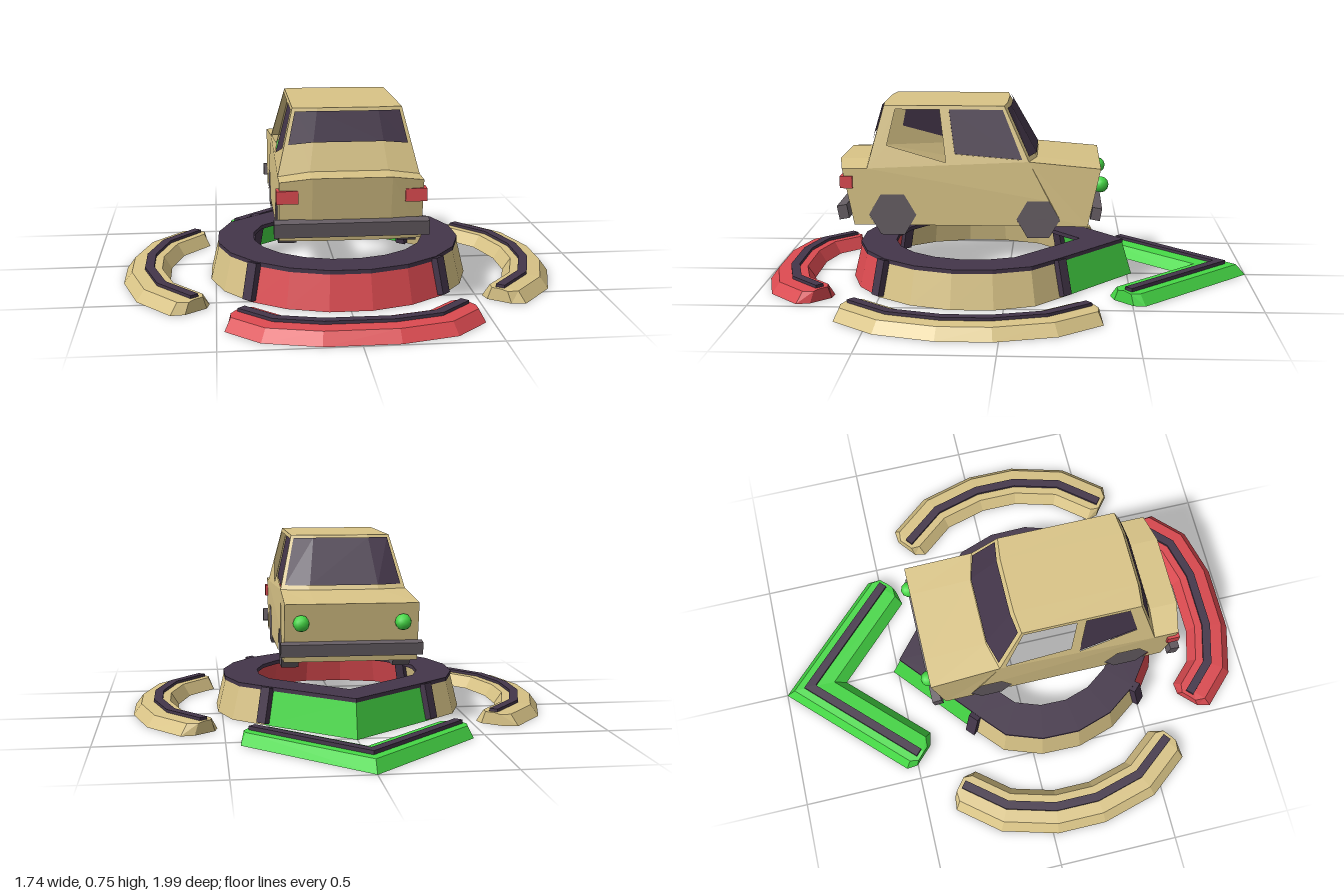
import * as THREE from 'three';

const mat = (name, color) => new THREE.MeshStandardMaterial({ name, color, side: THREE.DoubleSide });

// Faceted surface from rows of [x, y, z] points
function loft(rows) {
  const pos = [];
  for (let i = 0; i < rows.length - 1; i++) {
    for (let j = 0; j < rows[i].length - 1; j++) {
      const a = rows[i][j], b = rows[i][j + 1], c = rows[i + 1][j + 1], d = rows[i + 1][j];
      pos.push(...a, ...b, ...c, ...a, ...c, ...d);
    }
  }
  const g = new THREE.BufferGeometry();
  g.setAttribute('position', new THREE.Float32BufferAttribute(pos, 3));
  g.computeVertexNormals();
  return g;
}

// Sweep a section of [offset, y] along a ground path of [x, z], with mitred corners
function sweep(path, section, endLength, endScale) {
  const dir = (a, b) => new THREE.Vector2(b[0] - a[0], b[1] - a[1]).normalize();
  const last = path.length - 1;
  const rows = path.map((p, i) => {
    const d0 = dir(path[Math.max(i - 1, 0)], path[Math.max(i, 1)]);
    const d1 = dir(path[Math.min(i, last - 1)], path[Math.min(i + 1, last)]);
    const n0 = new THREE.Vector2(d0.y, -d0.x), n1 = new THREE.Vector2(d1.y, -d1.x);
    const n = n0.clone().add(n1).normalize();
    n.divideScalar(n.dot(n1));
    return section.map(([o, y]) => [p[0] + n.x * o, y, p[1] + n.y * o]);
  });
  // chamfered end followed by a flat cap
  const end = (i, j) => {
    const d = dir(path[j], path[i]), row = rows[i];
    const mid = [0, 2].map(k => path[i][k / 2]);
    const tip = row.map(p => [
      mid[0] + (p[0] - mid[0]) * endScale + d.x * endLength, p[1],
      mid[1] + (p[2] - mid[1]) * endScale + d.y * endLength]);
    const foot = tip.map((p, k) => {
      const t = k / (tip.length - 1), a = tip[0], b = tip[tip.length - 1];
      return [a[0] + (b[0] - a[0]) * t, a[1], a[2] + (b[2] - a[2]) * t];
    });
    return [tip, foot];
  };
  const [t0, f0] = end(0, 1), [t1, f1] = end(last, last - 1);
  return loft([f0, t0, ...rows, t1, f1]);
}

export function createModel() {
  const tan = mat('tan', 0xd9c487), dark = mat('dark plum', 0x44364a), red = mat('red', 0xdb4a50);
  const green = mat('green', 0x45d845), grey = mat('grey', 0x655d63);
  const model = new THREE.Group();
  const add = (name, geo, material, parent = model) => {
    const m = new THREE.Mesh(geo, material);
    m.name = name;
    parent.add(m);
    return m;
  };
  const car = new THREE.Group();
  car.name = 'car';
  model.add(car);

  // Body skin across the car: each row is z, y, half width, bow in z, crown in y
  const row = (z, y, w, dz = 0, dy = 0) =>
    [[-w, y, z], [-w * 0.55, y + dy, z + dz], [w * 0.55, y + dy, z + dz], [w, y, z]];
  const noseBottom = row(-0.325, 0.27, 0.265), noseTop = row(-0.375, 0.505, 0.264);
  const cowl = row(-0.09, 0.53, 0.258, -0.03);
  const roofFront = row(0.01, 0.745, 0.205, -0.01), roofRear = row(0.49, 0.745, 0.205, 0.01);
  const deck = row(0.555, 0.5, 0.265, 0.01, 0.018);
  const tailTop = row(0.655, 0.5, 0.265, 0.025, 0.018), tailBottom = row(0.61, 0.27, 0.265, 0.015);
  add('bodySkin', loft([noseBottom, noseTop, cowl, roofFront, roofRear, deck, tailTop, tailBottom]), tan, car);

  // Thin front and rear glass laid over the skin
  const glass = (name, top, base, v0, v1, off) => {
    const rows = [v0, v1].map(v => top.map((p, j) => {
      const q = p.map((c, k) => c + (base[j][k] - c) * v);
      return [q[0] * (j % 3 ? 1 : 0.94), q[1] + 0.003, q[2] + off];
    }));
    add(name, loft(rows), dark, car);
  };
  glass('windshield', roofFront, cowl, 0.06, 0.93, -0.007);
  glass('rearWindow', roofRear, deck, 0.06, 0.55, 0.006);

  // Sides: shapes are drawn in (z, y); x leans inward above the belt
  const sideX = y => 0.265 - Math.max(0, y - 0.5) * 0.06 / 0.245;
  const shapeOf = pts => new THREE.Shape(pts.map(p => new THREE.Vector2(...p)));
  const sideGeo = (shape, s, off = 0) => {
    const g = new THREE.ShapeGeometry(shape).toNonIndexed();
    const p = g.attributes.position;
    for (let i = 0; i < p.count; i++) {
      const z = p.getX(i), y = p.getY(i);
      p.setXYZ(i, s * (sideX(y) + off), y, z);
    }
    g.computeVertexNormals();
    return g;
  };
  const wheels = [{ name: 'frontWheel', z: -0.128, y: 0.297, r: 0.087 }, { name: 'rearWheel', z: 0.455, y: 0.312, r: 0.095 }];
  const arch = ({ z, y, r }) => {
    const h = r * 0.866, foot = r - (y - 0.27) * 0.577;
    return [[z - foot, 0.27], [z - r, y], [z - r / 2, y + h], [z + r / 2, y + h], [z + r, y], [z + foot, 0.27]];
  };
  const lower = shapeOf([[-0.325, 0.27], ...wheels.flatMap(arch), [0.61, 0.27],
    [0.655, 0.5], [0.555, 0.5], [-0.09, 0.53], [-0.375, 0.505]]);
  const frontPane = [[0.016, 0.73], [0.23, 0.73], [0.205, 0.558], [-0.064, 0.537]];
  const rearPane = [[0.268, 0.73], [0.445, 0.73], [0.477, 0.59], [0.24, 0.525]];
  const cabin = shapeOf([[-0.09, 0.53], [0.555, 0.5], [0.49, 0.745], [0.01, 0.745]]);
  cabin.holes = [frontPane, rearPane].map(p => new THREE.Path(p.map(q => new THREE.Vector2(...q))));
  for (const s of [-1, 1]) {
    const side = s > 0 ? 'Left' : 'Right';
    add('lowerSide' + side, sideGeo(lower, s), tan, car);
    add('cabinSide' + side, sideGeo(cabin, s), tan, car);
    // one pane per side, the other opening is empty
    add('sideWindow' + side, sideGeo(shapeOf(s > 0 ? frontPane : rearPane), s, -0.003), dark, car);
    for (const w of wheels) {
      const g = new THREE.CylinderGeometry(w.r, w.r, 0.07, 6).toNonIndexed();
      g.rotateZ(Math.PI / 2);
      g.computeVertexNormals();
      add(w.name + side, g, grey, car).position.set(s * 0.228, w.y, w.z);
    }
    add('tailLight' + side, new THREE.BoxGeometry(0.08, 0.048, 0.05), red, car).position.set(s * 0.236, 0.445, 0.638);
    add('headlight' + side, new THREE.IcosahedronGeometry(0.033, 1), green, car).position.set(s * 0.2, 0.43, -0.375);
  }
  const rearBumper = add('rearBumper', new THREE.BoxGeometry(0.57, 0.056, 0.04), grey, car);
  rearBumper.position.set(0, 0.326, 0.651);
  rearBumper.rotation.x = 0.18;
  const frontBumper = add('frontBumper', new THREE.BoxGeometry(0.56, 0.05, 0.038), grey, car);
  frontBumper.position.set(0, 0.326, -0.358);
  frontBumper.rotation.x = -0.18;

  // Raised ring: a sloping coloured wall under a dark top, pointed at the back
  const ring = new THREE.Group();
  ring.name = 'ring';
  model.add(ring);
  const cz = 0.13;
  const polar = (deg, r = 0.525) => {
    const a = deg * Math.PI / 180;
    return [r * Math.cos(a), cz + r * Math.sin(a)];
  };
  const arc = (a, b) => Array.from({ length: 6 }, (_, i) =>
    polar(a + (b - a) * i / 5, i === 5 && b < 0 ? 0.495 : 0.525));
  const mirror = path => path.map(([x, z]) => [-x, z]);
  const frontArc = arc(135, 45), leftArc = arc(45, -47), rightArc = mirror(leftArc).reverse();
  const point = [leftArc[5], [0, -0.52], rightArc[0]];
  const level = (path, k, y) => path.map(([x, z]) => [x * k, y, cz + (z - cz) * k]);
  for (const [name, path, m] of [['frontWall', frontArc, red], ['leftWall', leftArc, tan],
    ['rightWall', rightArc, tan], ['pointWall', point, green]]) {
    add(name, loft([level(path, 1, 0), level(path, 0.935, 0.14)]), m, ring);
  }
  const loop = [...frontArc, ...leftArc.slice(1), ...point.slice(1), ...rightArc.slice(1)];
  add('ringTop', loft([[0.94, 0.136], [0.94, 0.152], [0.66, 0.152], [0.66, 0.136], [0.94, 0.136]]
    .map(([k, y]) => level(loop, k, y))), dark, ring);
  for (const [deg, r] of [[45, 0.505], [135, 0.505], [-47, 0.478], [-133, 0.478]]) {
    const post = add('post', new THREE.BoxGeometry(0.045, 0.145, 0.05), dark, ring);
    const [x, z] = polar(deg, r);
    post.position.set(x, 0.077, z);
    post.rotation.set(-0.23, Math.atan2(x, z - cz), 0, 'YXZ');
  }

  // Low outer curbs with a dark strip along the crest
  const curbSection = [[0.103, 0], [0.07, 0.045], [0.02, 0.05], [-0.05, 0.05], [-0.082, 0]];
  const pointSection = [[0.078, 0], [0.05, 0.045], [-0.02, 0.05], [-0.075, 0.045], [-0.11, 0]];
  const strip = [[0.018, 0.042], [0.018, 0.062], [-0.018, 0.062], [-0.018, 0.042]];
  const leftCurb = [[0.59, 0.565], [0.71, 0.415], [0.765, 0.215], [0.765, 0.035], [0.71, -0.165], [0.59, -0.315]];
  const curbs = [
    ['leftCurb', leftCurb, tan, curbSection, -1],
    ['rightCurb', mirror(leftCurb), tan, curbSection, 1],
    ['frontCurb', [[-0.4, 0.74], [-0.295, 0.845], [-0.125, 0.89], [0.125, 0.89], [0.295, 0.845], [0.4, 0.74]], red, curbSection, -1],
    ['pointCurb', [[-0.39, -0.495], [0, -0.89], [0.39, -0.495]], green, pointSection, 1],
  ];
  for (const [name, path, m, section, s] of curbs) {
    const outward = section.map(([o, y]) => [o * s, y]);
    add(name, sweep(path, outward, 0.03, 0.55), m);
    add(name + 'Strip', sweep(path, strip, 0.015, 1), dark);
  }
  return model;
}
